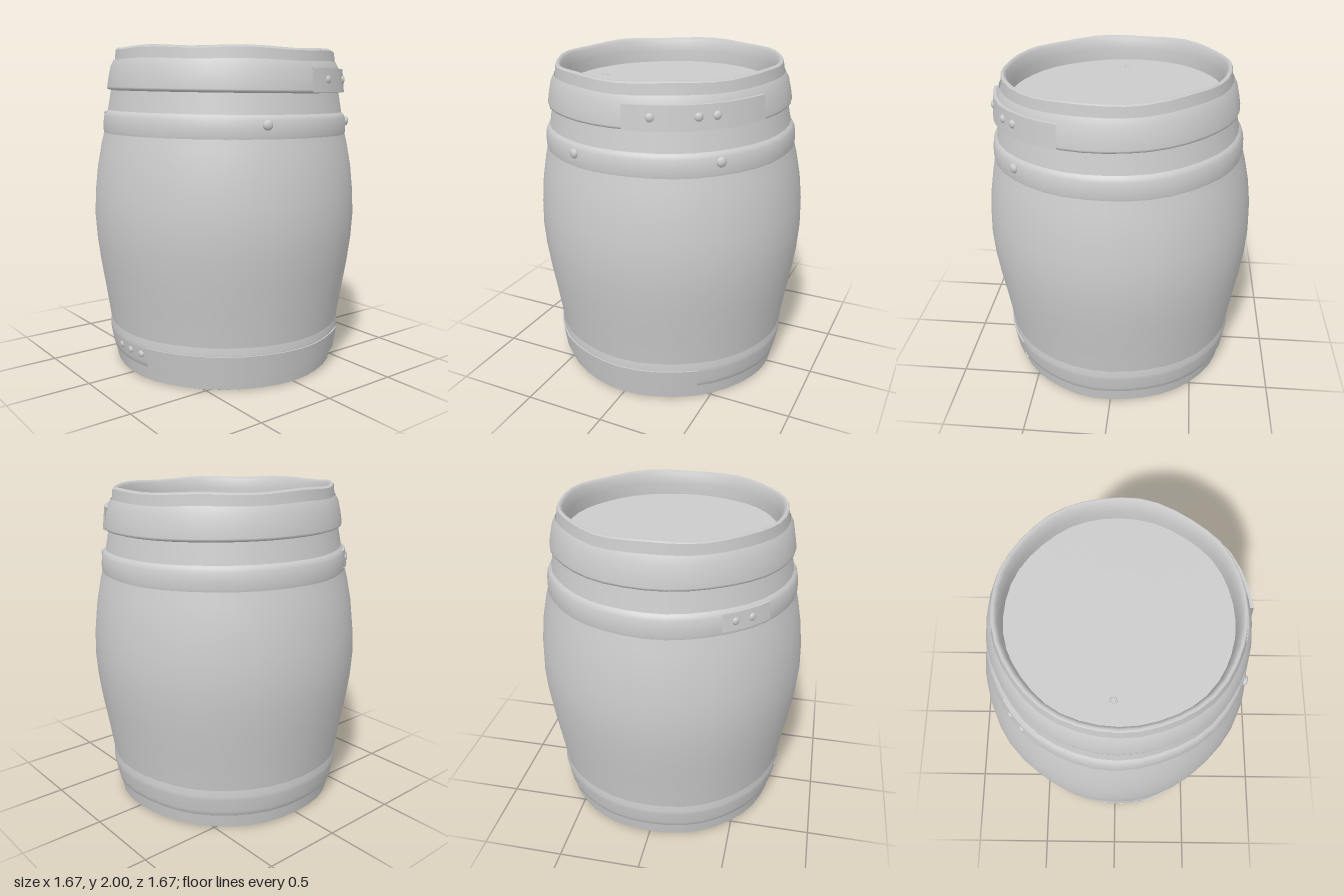
import * as THREE from 'three';

const SEGMENTS = 40;
const material = new THREE.MeshStandardMaterial({ color: 0xcccccc, side: THREE.DoubleSide });

// Gentle hand-made unevenness: the upper end leans to +x and its rim slopes down
function weather(geometry) {
  const p = geometry.attributes.position;
  for (let i = 0; i < p.count; i++) {
    const x = p.getX(i), y = p.getY(i), z = p.getZ(i);
    const t = THREE.MathUtils.smoothstep(y, 1.0, 1.95);
    const a = Math.atan2(x, z);
    const k = 1 + 0.004 * Math.sin(5 * a + 2 * y) + 0.003 * Math.sin(9 * a - 3 * y);
    const rim = THREE.MathUtils.smoothstep(y, 1.84, 1.95);
    p.setXYZ(i, x * k + 0.022 * t, y - 0.025 * x * t + 0.005 * rim * Math.sin(7 * a), z * k + 0.005 * t);
  }
  return geometry;
}

// Turned part from [radius, height] pairs, over a range of degrees measured from the front
function turned(name, profile, from = 0, to = 360) {
  const points = profile.map(([r, y]) => new THREE.Vector2(r, y));
  const steps = Math.max(4, Math.round(SEGMENTS * (to - from) / 360));
  const rad = THREE.MathUtils.degToRad;
  const geometry = new THREE.LatheGeometry(points, steps, rad(from), rad(to - from));
  const mesh = new THREE.Mesh(weather(geometry), material);
  mesh.name = name;
  return mesh;
}

// Rounded bump on the side of the barrel
function bump(name, degrees, y, r, size) {
  const a = THREE.MathUtils.degToRad(degrees);
  const geometry = new THREE.SphereGeometry(size, 10, 8);
  geometry.scale(1, 1, 0.6);
  geometry.rotateY(a);
  geometry.translate(Math.sin(a) * r, y, Math.cos(a) * r);
  const mesh = new THREE.Mesh(weather(geometry), material);
  mesh.name = name;
  return mesh;
}

export function createModel() {
  const barrel = new THREE.Group();
  barrel.name = 'barrel';

  // Bulging staves
  barrel.add(turned('staves', [
    [0.705, 0.01], [0.72, 0.1], [0.738, 0.22], [0.752, 0.32], [0.775, 0.47], [0.803, 0.64],
    [0.824, 0.8], [0.834, 0.95], [0.828, 1.1], [0.81, 1.26], [0.783, 1.4], [0.758, 1.5],
    [0.74, 1.6], [0.718, 1.72], [0.7, 1.82], [0.682, 1.97],
  ]));

  // Rims and recessed heads at both ends
  barrel.add(turned('topRim', [[0.682, 1.97], [0.67, 1.982], [0.65, 1.965], [0.637, 1.9], [0.637, 1.82]]));
  barrel.add(turned('topHead', [[0.645, 1.825], [0.3, 1.825], [0, 1.825]]));
  barrel.add(turned('bottomRim', [[0.65, 0.15], [0.65, 0.08], [0.67, 0.01], [0.69, 0.003], [0.705, 0.01]]));
  barrel.add(turned('bottomHead', [[0, 0.15], [0.3, 0.15], [0.655, 0.15]]));

  // Hoops: the top one has a sharp lower lip, the others blend into the staves
  barrel.add(turned('topHoop', [
    [0.715, 1.725], [0.738, 1.732], [0.74, 1.745], [0.731, 1.8], [0.716, 1.87], [0.695, 1.91],
  ]));
  barrel.add(turned('upperHoop', [
    [0.763, 1.46], [0.769, 1.485], [0.768, 1.53], [0.762, 1.575], [0.75, 1.595], [0.735, 1.61],
  ]));
  barrel.add(turned('lowerHoop', [
    [0.715, 0.09], [0.728, 0.1], [0.735, 0.13], [0.749, 0.21], [0.75, 0.235], [0.745, 0.28],
  ]));

  // Overlapping hoop ends, each a thin raised plate
  const overlap = (name, y0, y1, r0, r1, from, to) => barrel.add(turned(name, [
    [r0 - 0.03, y0], [r0, y0], [r0, y0], [r1, y1], [r1, y1], [r1 - 0.03, y1],
  ], from, to));
  overlap('topHoopOverlap', 1.73, 1.87, 0.749, 0.735, 95, 160);
  overlap('upperHoopOverlap', 1.49, 1.59, 0.776, 0.764, -58, -34);
  overlap('lowerHoopOverlap', 0.09, 0.225, 0.736, 0.758, 16, 127);

  // Rivets on the overlaps
  for (const d of [107, 127, 135]) barrel.add(bump('topRivet', d, 1.805, 0.738, 0.025));
  for (const d of [-52, -44]) barrel.add(bump('upperRivet', d, 1.54, 0.768, 0.022));
  for (const d of [71, 136]) barrel.add(bump('upperRivet', d, 1.55, 0.768, 0.03));
  for (const d of [-5, 4, 12]) barrel.add(bump('lowerRivet', d, 0.175, 0.74, 0.022));

  // Small plug in the top head
  const plug = new THREE.Mesh(new THREE.TorusGeometry(0.017, 0.006, 6, 12), material);
  plug.name = 'headPlug';
  plug.rotation.x = Math.PI / 2;
  plug.position.set(-0.01, 1.825, 0.475);
  barrel.add(plug);

  return barrel;
}
